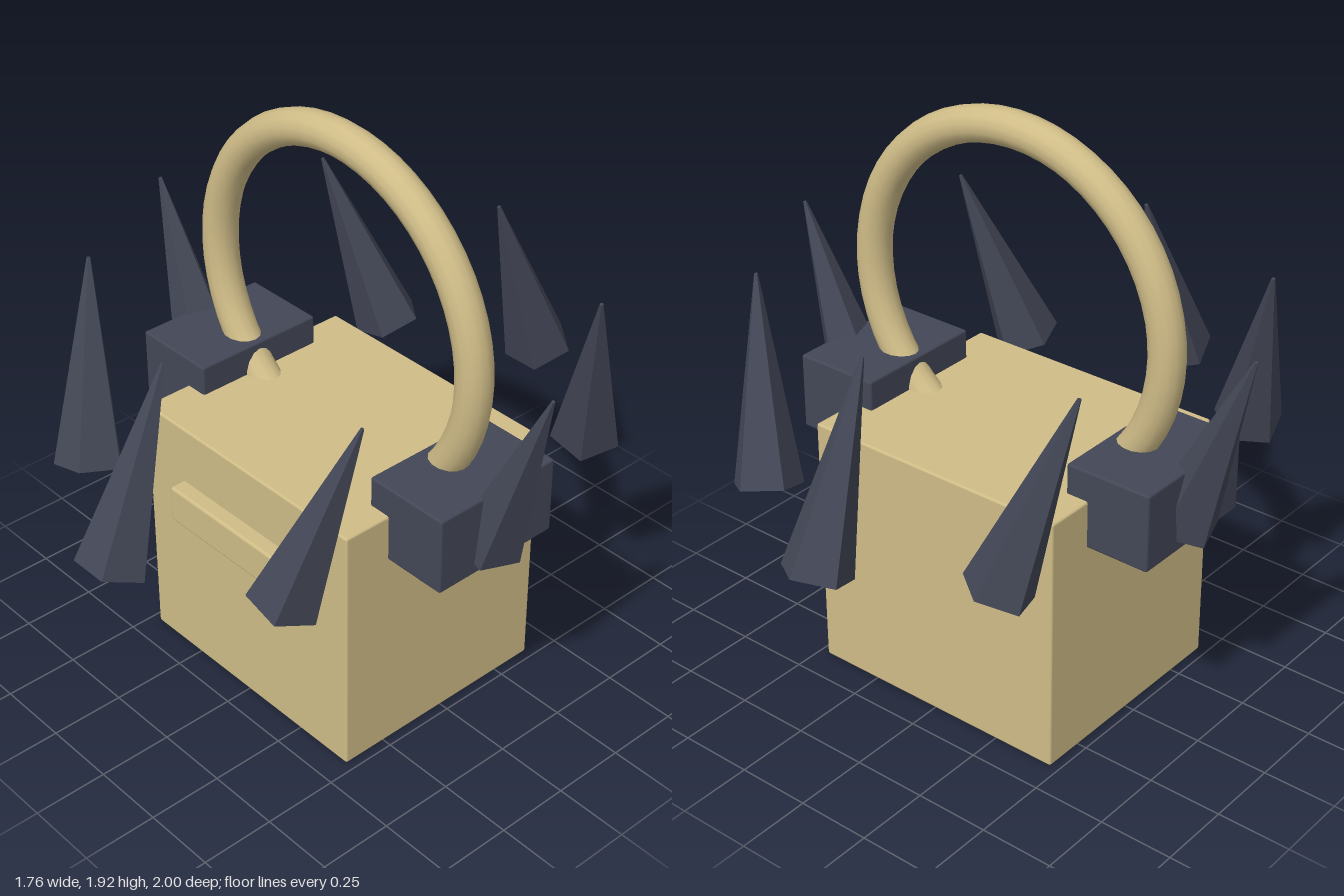
import * as THREE from 'three';
import { RoundedBoxGeometry } from 'three/addons/geometries/RoundedBoxGeometry.js';

export function createModel() {
  const model = new THREE.Group();
  model.name = 'spikedPadlock';
  const brass = new THREE.MeshStandardMaterial({ color: 0xcfbc87 });
  brass.name = 'brass';
  const iron = new THREE.MeshStandardMaterial({ color: 0x434756 });
  iron.name = 'dark iron';
  const midZ = 0.008; // the lock sits slightly forward of the origin

  function add(name, geometry, material, x, y, z) {
    const mesh = new THREE.Mesh(geometry, material);
    mesh.name = name;
    mesh.position.set(x, y, z);
    model.add(mesh);
    return mesh;
  }

  // Lock body and the raised bar on its front
  add('body', new RoundedBoxGeometry(0.94, 0.88, 0.802, 2, 0.008), brass, 0, 0.44, midZ);
  add('frontBar', new RoundedBoxGeometry(0.6, 0.13, 0.12, 2, 0.01), brass, 0, 0.613, 0.402);

  // Full ring whose lower part is sunk into the body
  add('shackle', new THREE.TorusGeometry(0.571, 0.058, 14, 56), brass, 0, 1.29, midZ);

  // Shoulder blocks where the ring enters the body
  for (const side of [1, -1]) {
    add(side > 0 ? 'leftBlock' : 'rightBlock',
      new RoundedBoxGeometry(0.3, 0.262, 0.468, 2, 0.008), iron, side * 0.539, 0.85, midZ);
  }

  // Eight five-sided spikes on an ellipse: the side ones lean out, front and back lean in
  const spikeGeometry = new THREE.CylinderGeometry(0.006, 0.115, 0.655, 5);
  spikeGeometry.rotateY(Math.PI); // a corner points to the back
  spikeGeometry.translate(0, 0.3275, 0); // pivot at the base
  const spikeIron = iron.clone();
  spikeIron.name = 'dark iron faceted';
  spikeIron.flatShading = true;
  const up = new THREE.Vector3(0, 1, 0);
  const tilt = THREE.MathUtils.degToRad(20);
  for (let i = 0; i < 8; i++) {
    const a = (i * Math.PI) / 4;
    const sx = Math.sin(a), cz = Math.cos(a);
    const spike = add('spike' + (i + 1), spikeGeometry, spikeIron, 0.65 * sx, 0.77, midZ + 0.9 * cz);
    const lean = new THREE.Vector3(sx * Math.sin(tilt), Math.cos(tilt), -cz * Math.sin(tilt));
    spike.quaternion.setFromUnitVectors(up, lean);
  }
  return model;
}
